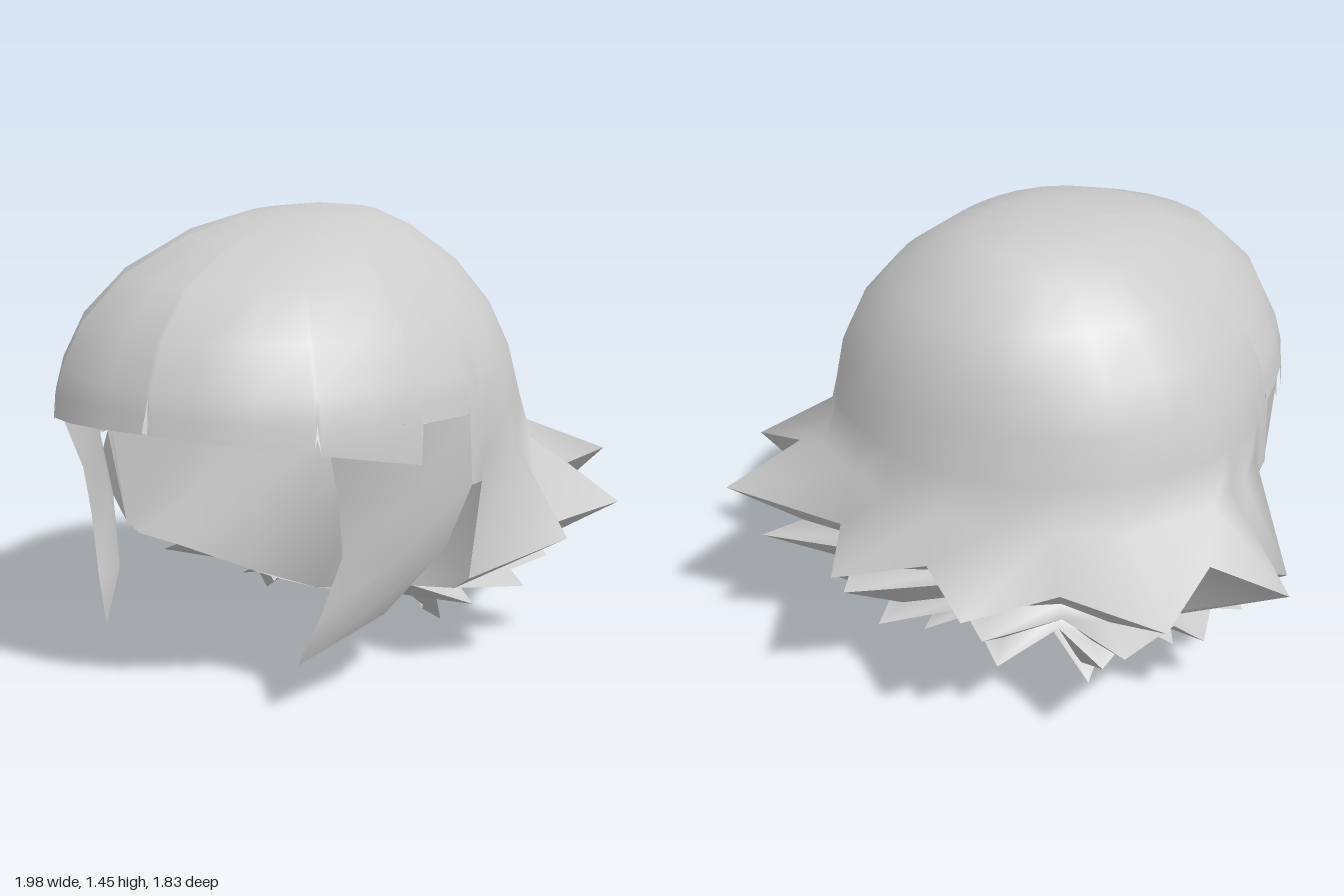
import * as THREE from 'three';
import { mergeVertices } from 'three/addons/utils/BufferGeometryUtils.js';

const hairMat = new THREE.MeshStandardMaterial({ color: 0xcccccc, side: THREE.DoubleSide });
hairMat.name = 'hair grey';

// Skin a list of rows (top to bottom), each a list of [x, y, z] points
function skin(name, rows) {
  const n = rows[0].length, index = [];
  for (let r = 0; r < rows.length - 1; r++) {
    for (let c = 0; c < n - 1; c++) {
      const a = r * n + c, b = a + 1, d = a + n, e = d + 1;
      index.push(a, d, b, b, d, e);
    }
  }
  let geo = new THREE.BufferGeometry();
  geo.setAttribute('position', new THREE.Float32BufferAttribute(rows.flat(2), 3));
  geo.setIndex(index);
  geo = mergeVertices(geo, 1e-4);
  geo.computeVertexNormals();
  const mesh = new THREE.Mesh(geo, hairMat);
  mesh.name = name;
  return mesh;
}

const flip = ([x, y, z]) => [-x, y, z];
// Extend a half loop that ends on the centre line with its mirror image
const mirrored = half => [...half, ...half.slice(0, -1).reverse().map(flip)];
// Move a point sideways towards another, keeping its height
const lean = (p, q, t) => [p[0] + (q[0] - p[0]) * t, p[1], p[2] + (q[2] - p[2]) * t];

// Head outline by height: y, front z, back z, half width
const LEVELS = [
  [1.45, -0.1, -0.1, 0], [1.425, 0.18, -0.31, 0.2], [1.375, 0.43, -0.39, 0.34],
  [1.275, 0.69, -0.515, 0.48], [1.14, 0.83, -0.585, 0.6], [1.0, 0.89, -0.63, 0.67],
  [0.9, 0.915, -0.645, 0.695], [0.78, 0.92, -0.655, 0.7], [0.66, 0.92, -0.7, 0.705],
];

function headPoint(deg, y) {
  let i = 0;
  while (i < LEVELS.length - 2 && y < LEVELS[i + 1][0]) i++;
  const A = LEVELS[i], B = LEVELS[i + 1];
  const t = (A[0] - y) / (A[0] - B[0]);
  const [zf, zb, w] = [1, 2, 3].map(k => A[k] + (B[k] - A[k]) * t);
  const zc = y > 1.4 ? -0.1 + 0.08 * Math.min(1, (1.45 - y) / 0.05) : -0.02;
  const a = deg * Math.PI / 180, c = Math.cos(a);
  // The front corners are a little squarer than an ellipse
  const square = c > 0 ? 1 + 0.04 * Math.sin(2 * a) ** 2 : 1;
  return [w * Math.sin(a) * square, y, zc + (c > 0 ? zf - zc : zc - zb) * c * square];
}

// Front hem: angle from the front and height, with narrow slits in the fringe
const HEM = [
  [0, 0.985], [0.8, 0.885], [13, 0.88], [26, 0.868], [38.5, 0.85], [39.2, 0.93], [40, 0.84],
  [52, 0.805], [62, 0.77], [62.6, 0.89], [70, 0.885], [76.5, 0.88], [77, 0.66], [80.5, 0.66],
];
// Spiky tiers, from the side edge round to the middle of the back
const BACK_ANGLES = [82, 92, 98, 108, 118, 134, 150, 165, 180];
const TIERS = [
  [[0.65, 0.33, 0.105], [0.9, 0.45, -0.08], [0.8, 0.46, -0.13], [0.99, 0.53, -0.29], [0.76, 0.6, -0.36],
    [0.79, 0.59, -0.71], [0.4, 0.53, -0.63], [0.23, 0.55, -0.91], [0, 0.57, -0.74]],
  [[0.6, 0.29, 0.1], [0.76, 0.27, -0.08], [0.68, 0.29, -0.15], [0.74, 0.3, -0.33], [0.66, 0.36, -0.38],
    [0.66, 0.45, -0.71], [0.38, 0.41, -0.58], [0.25, 0.44, -0.83], [0, 0.43, -0.62]],
  [[0.45, 0.27, 0.09], [0.6, 0.19, -0.05], [0.5, 0.24, -0.1], [0.61, 0.2, -0.27], [0.5, 0.25, -0.3],
    [0.5, 0.24, -0.54], [0.3, 0.27, -0.46], [0.22, 0.25, -0.7], [0, 0.28, -0.52]],
  [[0.2, 0.2, 0.02], [0.28, 0.15, -0.06], [0.27, 0.18, -0.1], [0.4, 0.17, -0.2], [0.37, 0.18, -0.24],
    [0.35, 0, -0.35], [0.2, 0.18, -0.35], [0.15, 0.16, -0.55], [0, 0.2, -0.4]],
];

export function createModel() {
  const group = new THREE.Group();
  group.name = 'hair';

  // Outer cap: crown to hem, ending in the flared spikes round the back
  const columns = [
    ...HEM.map(([deg, hem]) => ({ deg, hem, end: headPoint(deg, hem) })),
    ...BACK_ANGLES.map((deg, i) => ({ deg, hem: 0.72, end: TIERS[0][i] })),
  ].map(({ deg, hem, end }) => [
    ...LEVELS.slice(0, 6).map(l => headPoint(deg, l[0])),
    lean(headPoint(deg, 1 - (1 - hem) * 0.5), end, 0.03), lean(headPoint(deg, hem), end, 0.13), end,
  ]);
  const ring = [...columns.slice(1).reverse().map(col => col.map(flip)), ...columns];
  group.add(skin('outerCap', ring[0].map((_, r) => ring.map(col => col[r]))));

  // Lower tiers: each tucks steeply under the spikes above, then fans out again
  for (let i = 0; i < TIERS.length; i++) {
    const rim = TIERS[i], next = TIERS[i + 1];
    const under = [mirrored(rim)];
    if (next) {
      const root = next.map(([x, y, z], k) => {
        const inset = k === 0 ? 1 : k % 2 ? 0.85 : 0.96;
        return [x * inset, y + (k === 0 ? 0 : 0.04), -0.1 + (z + 0.1) * inset];
      });
      under.push(mirrored(root));
      group.add(skin('tierSpikes' + (i + 2), [mirrored(root), mirrored(next)]));
    } else {
      // The last tier closes to a point at the nape
      const root = rim.map(([x, , z]) => [x * 0.65, 0.17, -0.1 + (z + 0.1) * 0.65]);
      under.push(mirrored(root), mirrored(rim.map(() => [0, 0.13, -0.1])));
    }
    group.add(skin('tierUnderside' + (i + 1), under));
  }

  // Inner wall at the nape, facing forward
  const wallRows = [
    [[-0.69, 0.66, 0.12], [-0.4, 0.66, -0.05], [-0.2, 0.66, -0.15], [0, 0.66, -0.17]],
    [[-0.65, 0.33, 0.105], [-0.42, 0.45, 0.0], [-0.2, 0.45, -0.05], [0, 0.45, -0.03]],
    [[-0.6, 0.29, 0.1], [-0.45, 0.27, 0.09], [-0.2, 0.2, 0.02], [0, 0.13, -0.1]],
  ];
  group.add(skin('innerNapeWall', wallRows.map(mirrored)));

  // Inner lining: rises behind the fringe, then drops to the top of the nape wall
  const topZ = x => {
    const a = Math.abs(x);
    return a < 0.2 ? -0.17 + a * 0.1 : a < 0.4 ? -0.15 + (a - 0.2) * 0.5 : -0.05 + (a - 0.4) * 0.57;
  };
  const hemHalf = HEM.map(([deg, hem]) => headPoint(-deg, Math.min(hem, 0.885))).reverse();
  const hem = mirrored(hemHalf).map(([x, y, z]) => [x * 0.985, y, z * 0.985]);
  const between = (f, inset, y) => hem.map(([x, , z]) => [x * inset, y, topZ(x) + (z - topZ(x)) * f]);
  group.add(skin('innerLining', [
    hem, between(0.85, 0.94, 0.97), between(0.5, 0.92, 1.0), between(0.2, 0.92, 0.9), between(0, 1, 0.66),
  ]));

  // Long pointed locks in front of the ears: outer and inner faces share edges
  const lockRows = [
    [41, 58, 77].map(deg => headPoint(deg, 0.9).map((v, i) => i === 1 ? v : v * 0.995)),
    [[0.455, 0.66, 0.6], [0.61, 0.66, 0.41], [0.69, 0.66, 0.19]],
    [[0.45, 0.5, 0.57], [0.575, 0.48, 0.41], [0.62, 0.46, 0.22]],
    [[0.4, 0.32, 0.61], [0.48, 0.3, 0.5], [0.49, 0.27, 0.37]],
    [[0.345, 0.17, 0.65], [0.345, 0.17, 0.65], [0.345, 0.17, 0.65]],
  ];
  for (const side of [1, -1]) {
    const place = row => side > 0 ? row : row.map(flip).reverse();
    const inner = lockRows.map(row => row.map(([x, y, z], i) =>
      i === 1 && y > 0.2 ? [x - 0.06, y, z - 0.03] : [x, y, z]).reverse());
    const lock = new THREE.Group();
    lock.name = side > 0 ? 'leftLock' : 'rightLock';
    lock.add(skin('lockOuterFace', lockRows.map(place)), skin('lockInnerFace', inner.map(place)));
    group.add(lock);
  }
  return group;
}
